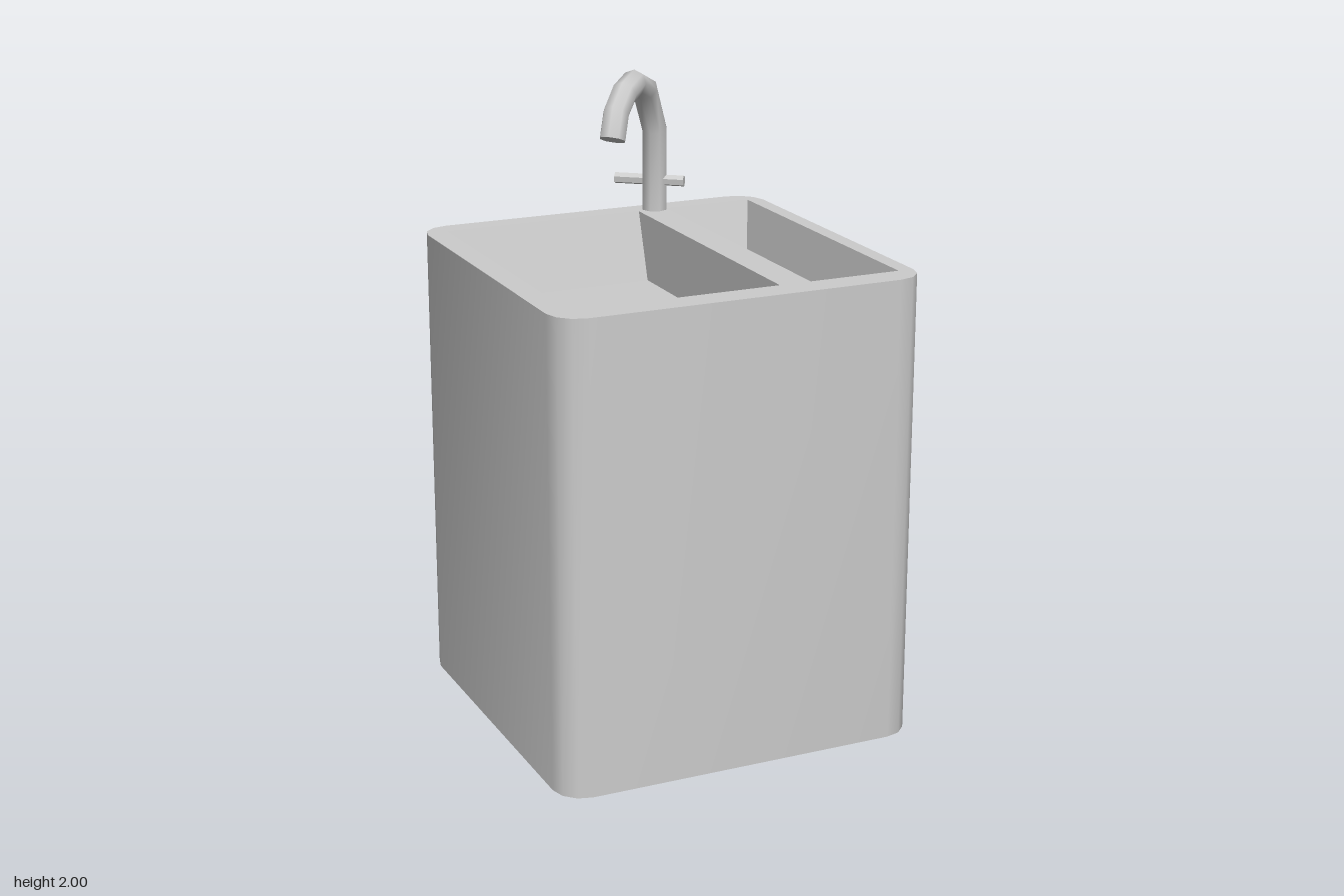
import * as THREE from 'three';
import { toCreasedNormals } from 'three/addons/utils/BufferGeometryUtils.js';

const HEIGHT = 1.5;
const grey = new THREE.MeshStandardMaterial({ color: 0xcccccc });
const faceted = new THREE.MeshStandardMaterial({ color: 0xcccccc, flatShading: true });

function add(parent, name, geometry, material = grey) {
  const mesh = new THREE.Mesh(geometry, material);
  mesh.name = name;
  parent.add(mesh);
  return mesh;
}

// Plan outlines are drawn counter-clockwise with plan y = -z.
function rectangle(x0, x1, z0, z1) {
  return [[x0, -z1], [x1, -z1], [x1, -z0], [x0, -z0]].map(([x, y]) => new THREE.Vector2(x, y));
}

function roundedRectangle(x0, x1, z0, z1, r, steps) {
  const centres = [[x1 - r, r - z0], [x0 + r, r - z0], [x0 + r, -z1 + r], [x1 - r, -z1 + r]];
  centres.forEach((c) => { c[1] = c[1] > 0 ? -z0 - r : c[1]; });
  const points = [];
  centres.forEach(([cx, cy], corner) => {
    for (let i = 0; i <= steps; i++) {
      const a = (corner + i / steps) * Math.PI / 2;
      points.push(new THREE.Vector2(cx + r * Math.cos(a), cy + r * Math.sin(a)));
    }
  });
  return points;
}

// Flat horizontal panel facing up, with optional openings.
function panel(outline, y, holes = []) {
  const shape = new THREE.Shape(outline);
  shape.holes = holes.map((h) => new THREE.Path(h));
  return new THREE.ShapeGeometry(shape).rotateX(-Math.PI / 2).translate(0, y, 0);
}

// Wall between two outlines: faces out when going up, in when going down.
function loft(a, ya, b, yb) {
  const positions = [];
  a.forEach((_, i) => {
    const j = (i + 1) % a.length;
    const p = [a[i].x, ya, -a[i].y], q = [a[j].x, ya, -a[j].y];
    const r = [b[j].x, yb, -b[j].y], s = [b[i].x, yb, -b[i].y];
    positions.push(...p, ...q, ...r, ...p, ...r, ...s);
  });
  const geometry = new THREE.BufferGeometry();
  geometry.setAttribute('position', new THREE.Float32BufferAttribute(positions, 3));
  return toCreasedNormals(geometry, 0.7);
}

// Angular path whose given points become the rings of a tube.
class BentPath extends THREE.Curve {
  constructor(points) {
    super();
    this.points = points;
  }
  getPoint(t, target = new THREE.Vector3()) {
    const n = this.points.length - 1;
    const i = Math.min(Math.floor(t * n + 1e-9), n - 1);
    return target.lerpVectors(this.points[i], this.points[i + 1], t * n - i);
  }
  getPointAt(t, target) { return this.getPoint(t, target); }
  getTangentAt(t, target) { return this.getTangent(t, target); }
}

export function createModel() {
  const model = new THREE.Group();
  model.name = 'pedestalSink';

  // Basins: drafted outer walls, upright walls along the divider
  const basins = [
    { name: 'largeBasin', depth: 0.22, top: rectangle(-0.525, 0.147, -0.51, 0.52),
      floor: rectangle(-0.42, 0.147, -0.44, 0.455) },
    { name: 'smallBasin', depth: 0.27, top: rectangle(0.25, 0.55, -0.51, 0.52),
      floor: rectangle(0.25, 0.507, -0.425, 0.44) },
  ];
  for (const { name, depth, top, floor } of basins) {
    const basin = new THREE.Group();
    basin.name = name;
    add(basin, name + 'Walls', loft(top, HEIGHT, floor, HEIGHT - depth));
    add(basin, name + 'Floor', panel(floor, HEIGHT - depth));
    model.add(basin);
  }

  // Pedestal: rounded block with a rim around the basins
  const outline = roundedRectangle(-0.6, 0.6, -0.585, 0.615, 0.095, 3);
  add(model, 'pedestalWall', loft(outline, 0, outline, HEIGHT));
  add(model, 'rim', panel(outline, HEIGHT, basins.map((b) => b.top)));
  add(model, 'base', panel(outline, 0).rotateX(Math.PI).translate(0, 0, 0.03));

  // Faucet: [reach along the diagonal, height]
  const faucet = new THREE.Group();
  faucet.name = 'faucet';
  const profile = [[0, 1.5], [0, 1.77], [0.24, 1.92], [0.51, 1.958], [0.74, 1.938], [0.92, 1.89], [1.01, 1.81]];
  const points = profile.map(([t, y]) => new THREE.Vector3(0.21 - 0.27 * t, y, -0.523 + 0.28 * t));
  const path = new BentPath(points);
  add(faucet, 'spout', new THREE.TubeGeometry(path, points.length - 1, 0.043, 8));
  const tip = add(faucet, 'spoutTip', new THREE.CircleGeometry(0.043, 8));
  tip.position.copy(points.at(-1));
  tip.lookAt(points.at(-1).clone().add(path.getTangent(1)));

  // Crossbar handle through the column
  const handle = add(faucet, 'handle', new THREE.CylinderGeometry(0.019, 0.019, 0.235, 6), faceted);
  handle.position.set(0.195, 1.6, -0.53);
  handle.quaternion.setFromUnitVectors(new THREE.Vector3(0, 1, 0), new THREE.Vector3(0.18, 0, 0.14).normalize());
  model.add(faucet);

  return model;
}
